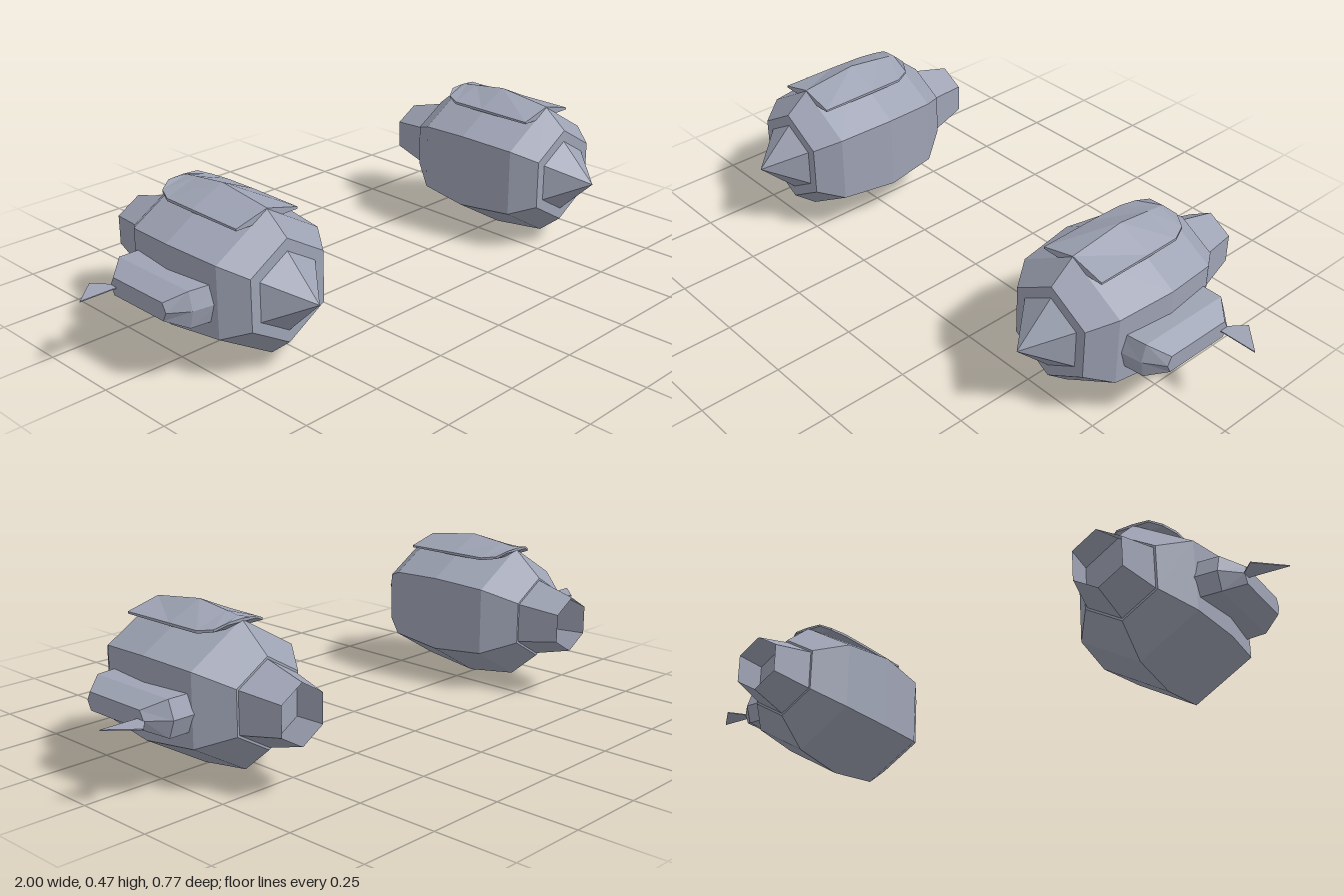
import * as THREE from 'three';

const CENTRE_Y = 0.236;

// Skin a series of closed cross-sections, optionally closing both ends
function loft(sections, caps = true) {
  const pos = [];
  const tri = (a, b, c) => pos.push(...a, ...b, ...c);
  for (let s = 0; s < sections.length - 1; s++) {
    const a = sections[s], b = sections[s + 1], n = a.length;
    for (let i = 0; i < n; i++) {
      const j = (i + 1) % n;
      tri(a[i], a[j], b[j]);
      tri(a[i], b[j], b[i]);
    }
  }
  if (caps) {
    const first = sections[0], last = sections[sections.length - 1];
    for (let i = 1; i < first.length - 1; i++) {
      tri(first[0], first[i + 1], first[i]);
      tri(last[0], last[i], last[i + 1]);
    }
  }
  const g = new THREE.BufferGeometry();
  g.setAttribute('position', new THREE.Float32BufferAttribute(pos, 3));
  g.computeVertexNormals();
  return g;
}

// Hexagon with a corner pointing up, facing along z
function hex(z, r) {
  return Array.from({ length: 6 }, (_, i) => {
    const a = Math.PI / 6 + (i * Math.PI) / 3;
    return [Math.cos(a) * r * 0.97, CENTRE_Y + Math.sin(a) * r, z];
  });
}

export function createModel() {
  const metal = new THREE.MeshStandardMaterial({ color: 0x9ea3b4, flatShading: true, side: THREE.DoubleSide });
  metal.name = 'blue grey metal';
  const model = new THREE.Group();
  model.name = 'enginePair';

  // Hexagonal hull, back to front
  const hull = loft([[-0.256, 0.129], [-0.16, 0.21], [0.01, 0.235], [0.19, 0.211], [0.265, 0.151]]
    .map(([z, r]) => hex(z, r)));

  // Pointed intake spike and open exhaust
  const spike = loft([hex(0.265, 0.115), hex(0.384, 0.0005)]);
  const exhaust = loft([hex(-0.384, 0.087), hex(-0.255, 0.122)], false);

  // Raised cover on the upper faces, narrowing at the rear
  const cover = loft([
    [-0.163, 0.05, 0.44, 0.446, 0.449],
    [-0.145, 0.085, 0.424, 0.431, 0.453],
    [-0.1, 0.104, 0.416, 0.424, 0.459],
    [0.01, 0.106, 0.416, 0.424, 0.472],
    [0.19, 0.106, 0.416, 0.422, 0.449],
  ].map(([z, w, base, edge, ridge]) =>
    [[w, base, z], [w, edge, z], [0, ridge, z], [-w, edge, z], [-w, base, z]]));

  // Side pod with chamfered outer end
  const podLoop = (x, front, frontTip, back, backTip, h) => [
    [front, h], [frontTip, 0], [front, -h], [back, -h], [backTip, 0], [back, h],
  ].map(([z, y]) => [x, 0.228 + y, z]);
  const pod = loft([
    podLoop(0.16, 0.165, 0.18, -0.145, -0.165, 0.053),
    podLoop(0.24, 0.155, 0.168, -0.145, -0.165, 0.053),
    podLoop(0.295, 0.115, 0.128, -0.098, -0.112, 0.026),
  ]);

  // Small flat fin at the pod's rear outer corner
  const fin = loft([0.226, 0.229].map((y) =>
    [[0.27, y, -0.085], [0.41, y, -0.085], [0.33, y, -0.16]]));

  const parts = { hull, intakeSpike: spike, exhaust, topCover: cover, sidePod: pod, fin };
  for (const side of [1, -1]) {
    const engine = new THREE.Group();
    engine.name = side > 0 ? 'leftEngine' : 'rightEngine';
    for (const [name, geometry] of Object.entries(parts)) {
      const mesh = new THREE.Mesh(geometry, metal);
      mesh.name = name;
      engine.add(mesh);
    }
    engine.position.x = side * 0.59;
    engine.scale.x = side;
    model.add(engine);
  }
  return model;
}
